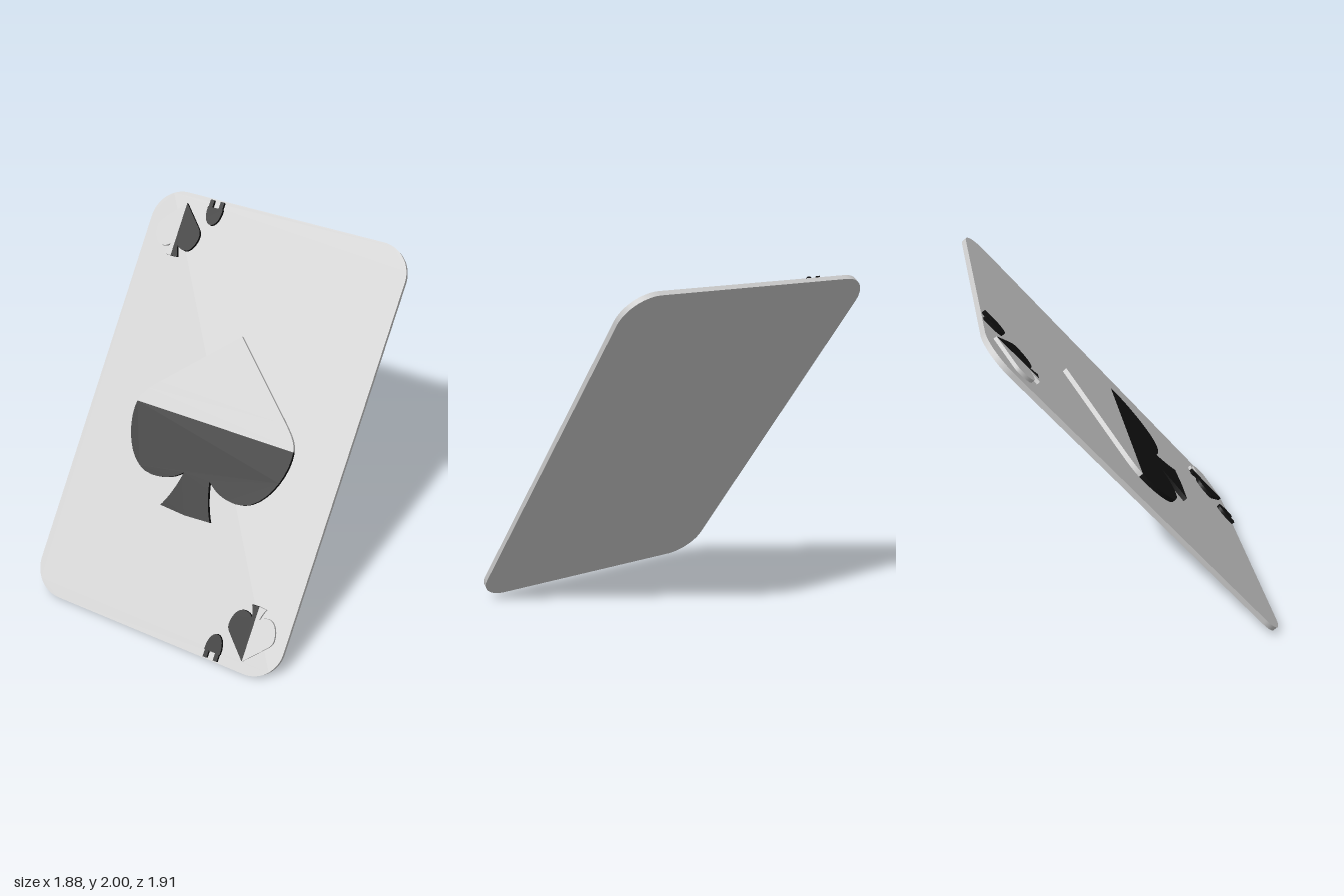
import * as THREE from 'three';
import { toCreasedNormals } from 'three/addons/utils/BufferGeometryUtils.js';

const LENGTH = 2.546, WIDTH = 1.64, THICK = 0.03, RADIUS = 0.19;
const TILT = THREE.MathUtils.degToRad(51), TURN = THREE.MathUtils.degToRad(13);

const grey = new THREE.MeshStandardMaterial({ color: 0xcccccc });
const black = new THREE.MeshStandardMaterial({ color: 0x111111 });

function plate(name, shape, depth, z, material) {
  const geo = new THREE.ExtrudeGeometry(shape, { depth, bevelEnabled: false, curveSegments: 14 });
  const mesh = new THREE.Mesh(toCreasedNormals(geo, 0.5), material);
  mesh.name = name;
  mesh.position.z = z;
  return mesh;
}

function roundedRect(w, h, r) {
  const s = new THREE.Shape(), x = w / 2 - r, y = h / 2 - r;
  s.absarc(x, y, r, 0, Math.PI / 2);
  s.absarc(-x, y, r, Math.PI / 2, Math.PI);
  s.absarc(-x, -y, r, Math.PI, Math.PI * 1.5);
  s.absarc(x, -y, r, Math.PI * 1.5, Math.PI * 2);
  s.closePath();
  return s;
}

// One side of the spade in two runs: tip to waist, waist to stem foot
function spadeSide() {
  const upper = new THREE.Path();
  upper.moveTo(0, 0.54);
  upper.lineTo(0.41, 0.15);
  upper.bezierCurveTo(0.46, 0.10, 0.505, 0.06, 0.516, 0);
  const lower = new THREE.Path();
  lower.moveTo(0.516, 0);
  lower.bezierCurveTo(0.54, -0.13, 0.45, -0.385, 0.28, -0.385);
  lower.bezierCurveTo(0.18, -0.385, 0.12, -0.345, 0.085, -0.31);
  lower.quadraticCurveTo(0.11, -0.44, 0.165, -0.535);
  lower.lineTo(0, -0.545);
  return [upper.getPoints(10), lower.getPoints(10)];
}

const mirrored = (pts) => pts.map((p) => new THREE.Vector2(-p.x, p.y)).reverse();

export function createModel() {
  const model = new THREE.Group();
  model.name = 'playingCard';
  const card = new THREE.Group();
  card.name = 'tiltedCard';
  model.add(card);

  const face = THICK / 2 - 0.002;
  card.add(plate('cardBody', roundedRect(WIDTH, LENGTH, RADIUS), THICK, -THICK / 2, grey));

  // Large centre spade, split across the waist
  const [upper, lower] = spadeSide();
  const topHalf = new THREE.Shape([...upper, ...mirrored(upper).slice(0, -1)]);
  const bottomHalf = new THREE.Shape([...lower, ...mirrored(lower).slice(1)]);
  card.add(plate('centreSpadeTop', topHalf, 0.029, face, grey));
  card.add(plate('centreSpadeBottom', bottomHalf, 0.029, face, black));

  // Small spade split lengthwise, plus an abstract index mark, at two opposite corners
  const side = [...upper, ...lower.slice(1)];
  const dome = new THREE.Shape();
  dome.moveTo(0.05, 0.05);
  dome.lineTo(-0.05, 0.05);
  dome.bezierCurveTo(-0.055, -0.09, 0.055, -0.09, 0.05, 0.05);
  for (let i = 0; i < 2; i++) {
    const corner = new THREE.Group();
    corner.name = i ? 'lowerCorner' : 'upperCorner';
    corner.rotation.z = i * Math.PI;

    const pip = new THREE.Group();
    pip.name = 'cornerSpade';
    pip.position.set(-0.607, 1.045, 0);
    pip.scale.set(0.275, 0.3, 1);
    pip.add(plate('spadeDarkHalf', new THREE.Shape(side), 0.022, face, black));
    pip.add(plate('spadePlainHalf', new THREE.Shape(mirrored(side)), 0.022, face, grey));

    const mark = new THREE.Group();
    mark.name = 'cornerMark';
    mark.position.set(-0.42, 1.17, 0);
    mark.add(plate('markDome', dome, 0.022, face, black));
    for (const s of [-1, 1]) {
      const bar = new THREE.Mesh(new THREE.BoxGeometry(0.025, 0.05, 0.022), black);
      bar.name = 'markBar';
      bar.position.set(s * 0.033, 0.068, face + 0.011);
      mark.add(bar);
    }
    corner.add(pip, mark);
    card.add(corner);
  }

  // Lean the card: short edge stays level, long edge climbs toward +x
  const across = new THREE.Vector3(Math.sin(TURN), 0, Math.cos(TURN));
  const along = new THREE.Vector3(
    Math.cos(TURN) * Math.cos(TILT), Math.sin(TILT), -Math.sin(TURN) * Math.cos(TILT));
  const normal = new THREE.Vector3().crossVectors(across, along);
  card.quaternion.setFromRotationMatrix(new THREE.Matrix4().makeBasis(across, along, normal));
  card.position.y = 1;
  return model;
}
